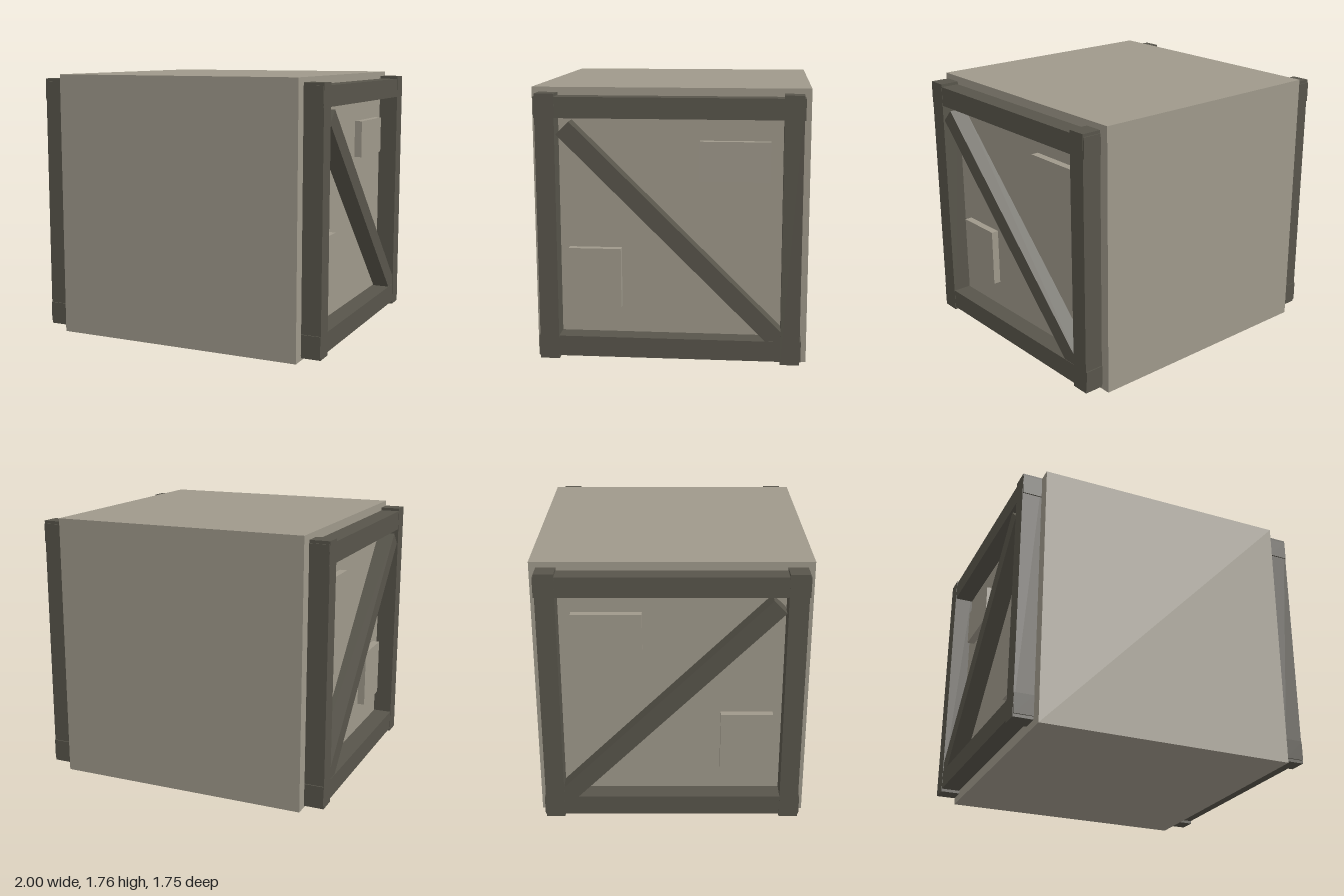
import * as THREE from 'three';

export function createModel() {
  const model = new THREE.Group();
  model.name = 'crate';
  const shell = new THREE.MeshStandardMaterial({ name: 'warm grey shell', color: 0x9f998b });
  const metal = new THREE.MeshStandardMaterial({ name: 'dark olive frame', color: 0x58554b });

  // Box given by its minimum and maximum corners
  function box(parent, name, material, min, max) {
    const size = max.map((v, i) => v - min[i]);
    const mesh = new THREE.Mesh(new THREE.BoxGeometry(...size), material);
    mesh.position.set(...max.map((v, i) => (v + min[i]) / 2));
    mesh.name = name;
    parent.add(mesh);
    return mesh;
  }

  // Main body
  box(model, 'body', shell, [-0.855, 0, -0.875], [0.855, 1.765, 0.875]);

  // Both sides carry the same frame, mirrored in x
  for (const s of [1, -1]) {
    const side = new THREE.Group();
    side.name = s > 0 ? 'leftSide' : 'rightSide';
    model.add(side);
    const part = (name, material, x0, x1, y0, y1, z0, z1) =>
      box(side, name, material, [Math.min(s * x0, s * x1), y0, z0], [Math.max(s * x0, s * x1), y1, z1]);

    // Upright posts
    part('frontPost', metal, 0.87, 1, 0.03, 1.735, 0.707, 0.829);
    part('backPost', metal, 0.87, 1, 0.03, 1.735, -0.829, -0.707);

    // Horizontal rails, standing slightly proud of the posts at their ends
    part('bottomRail', metal, 0.872, 0.998, 0.05, 0.182, -0.837, 0.837);
    part('topRail', metal, 0.872, 0.998, 1.585, 1.716, -0.837, 0.837);

    // Diagonal brace, from the upper front to the lower back corner
    const top = new THREE.Vector2(0.659, 1.524);
    const bottom = new THREE.Vector2(-0.73, 0.145);
    const run = top.clone().sub(bottom);
    const brace = new THREE.Mesh(new THREE.BoxGeometry(0.115, 0.115, run.length()), metal);
    brace.name = 'diagonalBrace';
    brace.position.set(s * 0.938, (top.y + bottom.y) / 2, (top.x + bottom.x) / 2);
    brace.rotation.x = -Math.atan2(run.y, run.x);
    side.add(brace);

    // Raised plates on the body wall
    part('lowerPlate', shell, 0.85, 0.905, 0.35, 0.74, 0.315, 0.652);
    part('upperPlate', shell, 0.85, 0.905, 1.187, 1.437, -0.63, -0.187);
  }
  return model;
}
